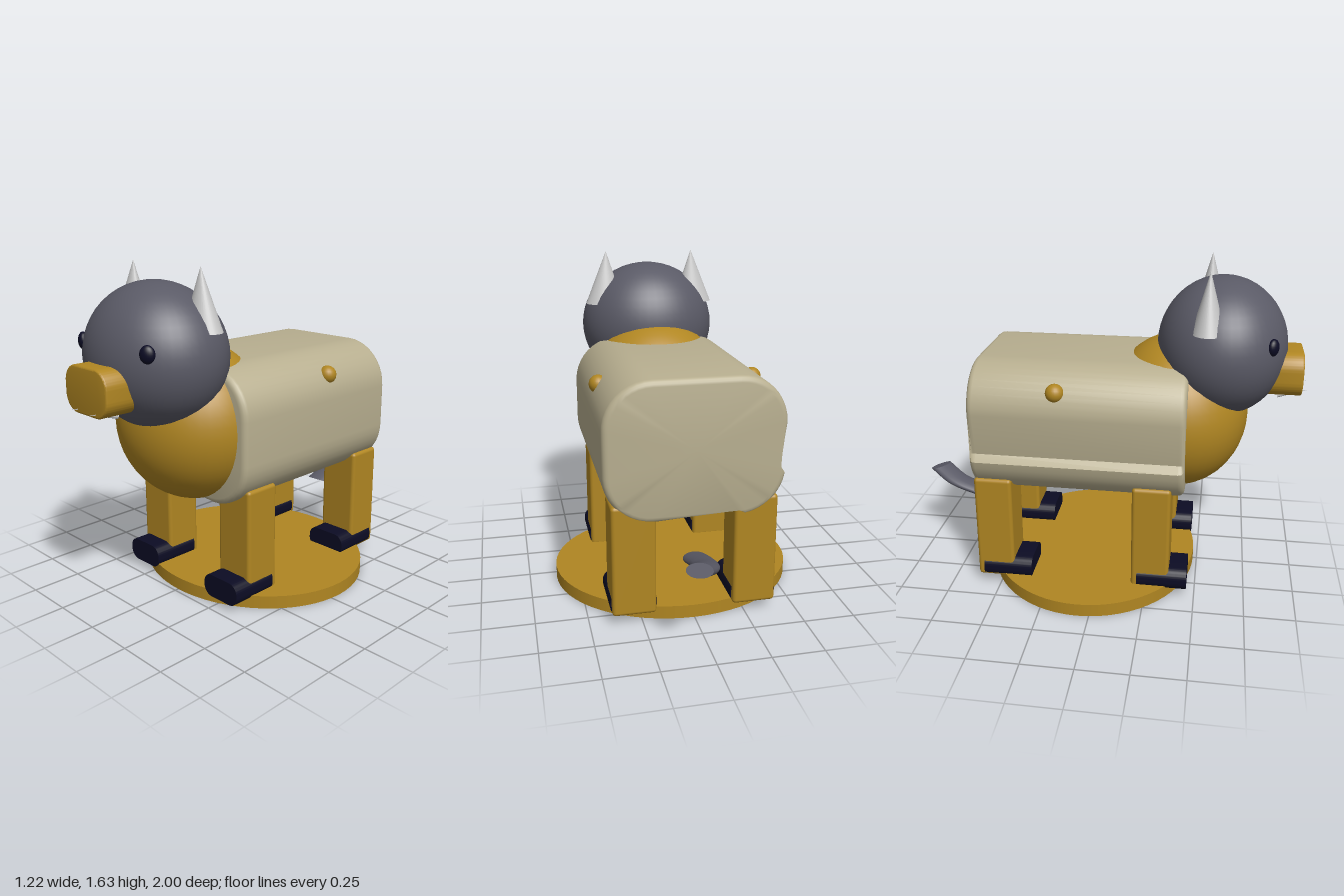
import * as THREE from 'three';
import { toCreasedNormals } from 'three/addons/utils/BufferGeometryUtils.js';
import { RoundedBoxGeometry } from 'three/addons/geometries/RoundedBoxGeometry.js';

const mat = (name, color, side = THREE.FrontSide) => {
  const m = new THREE.MeshStandardMaterial({ color, side });
  m.name = name;
  return m;
};

// Rounded rectangle centred on the origin
function roundedRect(w, h, r) {
  const s = new THREE.Shape();
  const x = w / 2 - r, y = h / 2 - r;
  s.absarc(x, -y, r, -Math.PI / 2, 0);
  s.absarc(x, y, r, 0, Math.PI / 2);
  s.absarc(-x, y, r, Math.PI / 2, Math.PI);
  s.absarc(-x, -y, r, Math.PI, Math.PI * 1.5);
  s.closePath();
  return s;
}

// Rounded barrel with bevelled ends and a notch along its lower right edge
function bodyGeometry() {
  const r = 0.2, bevel = 0.03, seg = 10, pts = [];
  const corners = [[0.2, 0.74], [0.2, 0.95], [-0.2, 0.95], [-0.2, 0.74]];
  corners.forEach(([cx, cy], c) => {
    for (let i = 0; i <= seg; i++) {
      const a = (c - 1 + i / seg) * Math.PI / 2;
      const out = c === 3 && (i === 0 || i === seg) ? 0 : bevel;
      pts.push({ cx, cy, a, out });
    }
  });
  const rings = [], steps = 4;
  for (let k = 0; k <= steps; k++) {
    const t = k / steps * Math.PI / 2;
    rings.push([0.43 - bevel * (1 - Math.cos(t)), Math.sin(t)]);
  }
  for (let k = steps; k >= 0; k--) {
    const t = k / steps * Math.PI / 2;
    rings.push([-0.618 + bevel * (1 - Math.cos(t)), Math.sin(t)]);
  }
  const pos = [], index = [], n = pts.length;
  for (const [z, f] of rings) {
    for (const p of pts) {
      const d = r + p.out * f;
      pos.push(p.cx + Math.cos(p.a) * d, p.cy + Math.sin(p.a) * d, z);
    }
  }
  const front = pos.length / 3, back = front + 1, last = (rings.length - 1) * n;
  pos.push(0, 0.845, 0.43, 0, 0.845, -0.618);
  for (let i = 0; i < n; i++) {
    const j = (i + 1) % n;
    for (let k = 0; k < rings.length - 1; k++) {
      const a = k * n, b = a + n;
      index.push(a + i, b + i, a + j, a + j, b + i, b + j);
    }
    index.push(front, i, j, back, last + j, last + i);
  }
  const g = new THREE.BufferGeometry();
  g.setAttribute('position', new THREE.Float32BufferAttribute(pos, 3));
  g.setIndex(index);
  return toCreasedNormals(g, 0.6);
}

export function createModel() {
  const group = new THREE.Group();
  const gold = mat('gold', 0xb08622);
  const beige = mat('beige', 0xb8af90);
  const grey = mat('slate grey', 0x5a5a66);
  const tailGrey = mat('tail grey', 0x5a5a66, THREE.DoubleSide);
  const navy = mat('dark navy', 0x0c0c24);
  const pale = mat('pale grey', 0xc8c8c8);

  const add = (name, geo, material, x = 0, y = 0, z = 0) => {
    const m = new THREE.Mesh(geo, material);
    m.name = name;
    m.position.set(x, y, z);
    group.add(m);
    return m;
  };
  const ellipsoid = (name, material, rx, ry, rz, x, y, z, seg = 48) =>
    add(name, new THREE.SphereGeometry(1, seg, seg / 2).scale(rx, ry, rz), material, x, y, z);

  // Oval stand
  add('base', new THREE.CylinderGeometry(1, 1, 0.065, 64).scale(0.612, 1, 0.54), gold, 0, 0.0325, -0.06);

  // Body, chest and head
  add('body', bodyGeometry(), beige);
  ellipsoid('chest', gold, 0.39, 0.39, 0.355, 0, 0.88, 0.366);
  ellipsoid('head', grey, 0.364, 0.34, 0.317, 0, 1.226, 0.575);

  // Snout
  const snout = new THREE.ExtrudeGeometry(roundedRect(0.29, 0.2, 0.075), {
    depth: 0.2, bevelSize: 0.008, bevelThickness: 0.008, bevelSegments: 3, curveSegments: 10,
  });
  add('snout', toCreasedNormals(snout, 0.6), gold, 0, 1.118, 0.758);

  const footShape = roundedRect(0.224, 0.115, 0.05);
  for (const s of [-1, 1]) {
    const side = s > 0 ? 'left' : 'right';

    // Face details
    const eye = ellipsoid(side + 'Eye', navy, 0.035, 0.041, 0.024, s * 0.235, 1.29, 0.807, 24);
    eye.rotation.y = s * 0.6;
    const horn = new THREE.ConeGeometry(1, 0.285, 40).scale(0.105, 1, 0.078);
    add(side + 'Horn', horn, pale, s * 0.242, 1.4925, 0.507).rotation.z = s * 0.03;
    const tusk = new THREE.ConeGeometry(0.012, 0.15, 12).rotateX(Math.PI / 2 - 0.23);
    add(side + 'Tusk', tusk, pale, s * 0.068, 1.018, 0.927);

    // Side knob
    ellipsoid(side + 'Knob', gold, 0.045, 0.045, 0.045, s * 0.385, 1.07, -0.19, 24);

    // Legs and feet
    for (const [end, legZ, footZ] of [['front', 0.275, 0.21], ['back', -0.516, -0.58]]) {
      add(end + side + 'Leg', new RoundedBoxGeometry(0.21, 0.55, 0.19, 3, 0.018), gold, s * 0.291, 0.325, legZ);
      const foot = new THREE.ExtrudeGeometry(footShape, { depth: 0.25, bevelEnabled: false, curveSegments: 8 });
      add(end + side + 'Foot', toCreasedNormals(foot, 0.6), navy, s * 0.291, 0.0975, footZ);
    }
  }

  // Flattened, curling tail
  const flat = 0.35;
  const path = new THREE.CatmullRomCurve3([
    [0, 0.31, -0.6], [-0.004, 0.345, -0.72], [0.008, 0.38, -0.83], [0.07, 0.432, -0.95],
  ].map(([x, y, z]) => new THREE.Vector3(x, y / flat, z)));
  const tail = new THREE.TubeGeometry(path, 28, 0.06, 20).scale(1, flat, 1);
  tail.computeVertexNormals();
  add('tail', tail, tailGrey);

  // Tail end cap
  const end = path.getPoint(1), dir = path.getTangent(1);
  const cap = new THREE.CircleGeometry(0.06, 20);
  cap.applyQuaternion(new THREE.Quaternion().setFromUnitVectors(new THREE.Vector3(0, 0, 1), dir));
  cap.translate(end.x, end.y, end.z).scale(1, flat, 1);
  cap.computeVertexNormals();
  add('tailTip', cap, tailGrey);

  return group;
}
